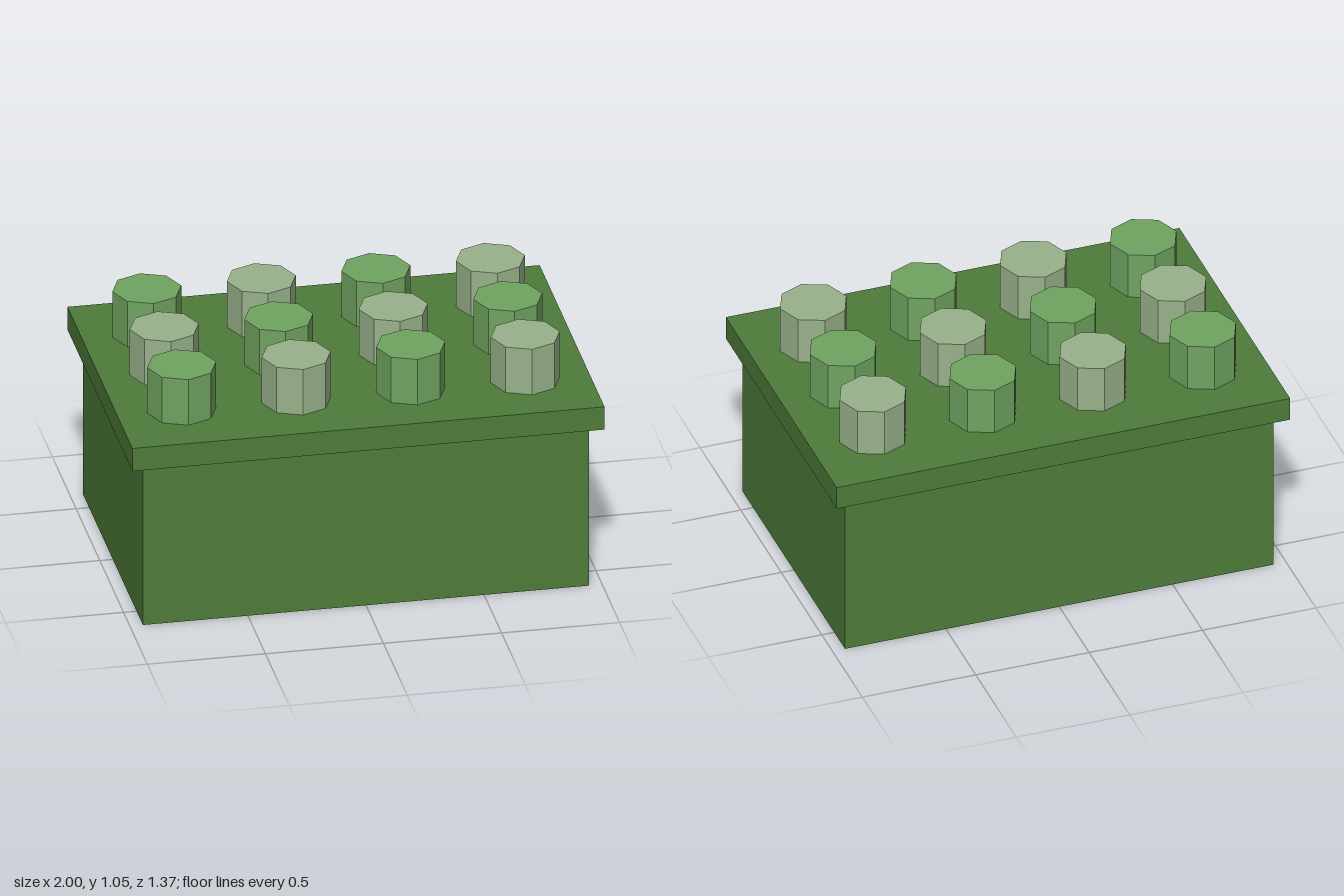
import * as THREE from 'three';

export function createModel() {
  const model = new THREE.Group();
  const flat = (name, color) => {
    const m = new THREE.MeshStandardMaterial({ color, flatShading: true });
    m.name = name;
    return m;
  };
  const darkGreen = flat('dark green', 0x4f7d3a);
  const leafGreen = flat('leaf green', 0x70a460);
  const paleGreen = flat('pale sage green', 0x98b28a);

  const add = (name, geometry, material, x, y, z) => {
    const mesh = new THREE.Mesh(geometry, material);
    mesh.name = name;
    mesh.position.set(x, y, z);
    model.add(mesh);
  };

  // Body and overhanging top slab
  const bodyHeight = 0.74, slabTop = 0.845, studTop = 1.055;
  add('body', new THREE.BoxGeometry(1.89, bodyHeight, 1.265), darkGreen, 0, bodyHeight / 2, 0);
  add('topSlab', new THREE.BoxGeometry(2, slabTop - bodyHeight, 1.367), darkGreen,
    0, (slabTop + bodyHeight) / 2, 0);

  // Octagonal studs in a 4 x 3 checkerboard
  const studHeight = studTop - slabTop;
  const stud = new THREE.CylinderGeometry(0.146, 0.146, studHeight, 8);
  for (let row = 0; row < 3; row++) {
    for (let col = 0; col < 4; col++) {
      add(`stud${row + 1}_${col + 1}`, stud, (row + col) % 2 ? paleGreen : leafGreen,
        (col - 1.5) * 0.485, slabTop + studHeight / 2, (row - 1) * 0.367);
    }
  }
  return model;
}
